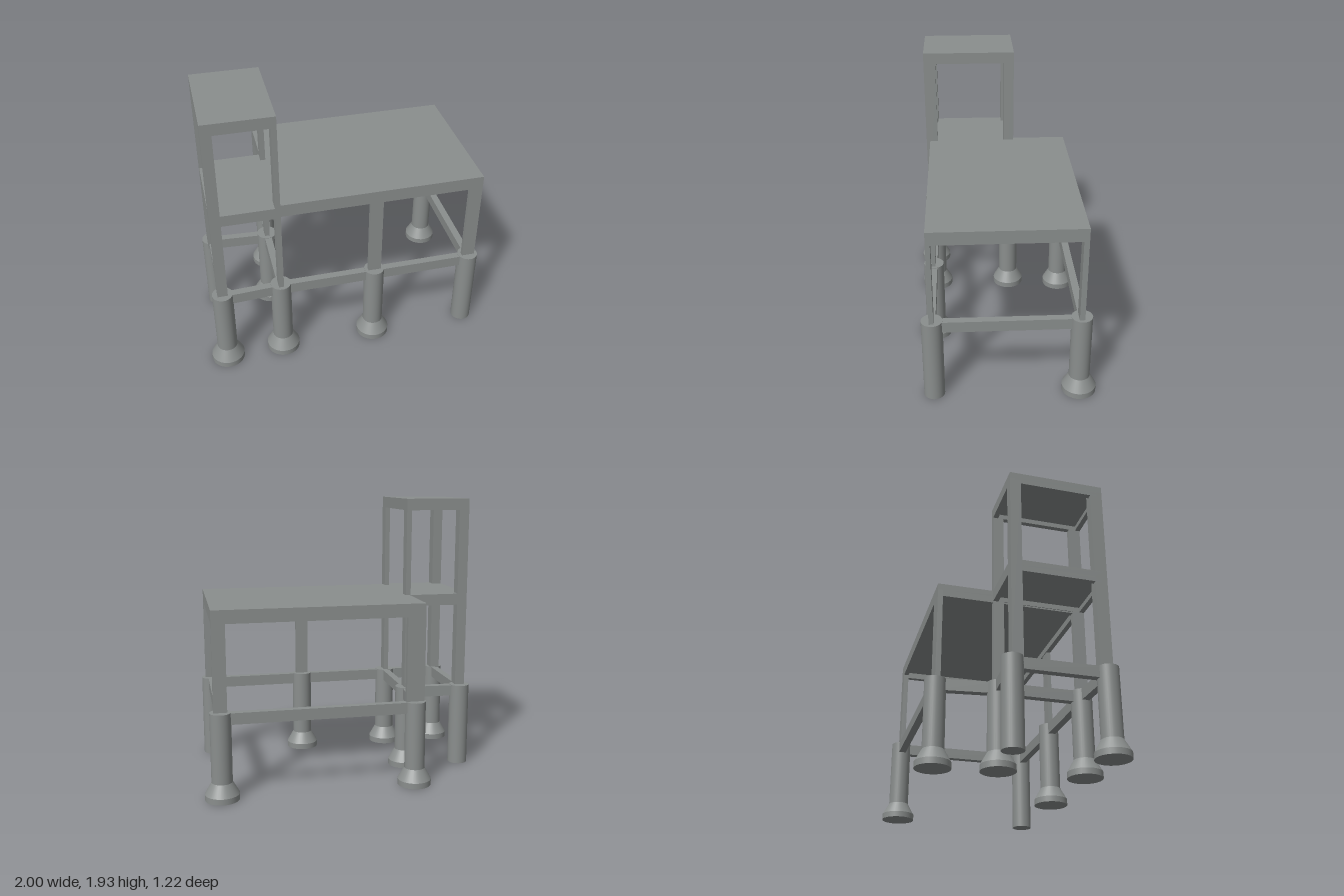
import * as THREE from 'three';

export function createModel() {
  const model = new THREE.Group();
  model.name = 'buildingFrame';
  const concrete = new THREE.MeshStandardMaterial({ color: 0x8a8e8d });
  concrete.name = 'concrete grey';

  const add = (name, geometry, parent = model) => {
    const mesh = new THREE.Mesh(geometry, concrete);
    mesh.name = name;
    parent.add(mesh);
    return mesh;
  };

  // Box given by its limits on each axis
  const box = (name, x0, x1, y0, y1, z0, z1, parent) =>
    add(name, new THREE.BoxGeometry(x1 - x0, y1 - y0, z1 - z0), parent)
      .position.set((x0 + x1) / 2, (y0 + y1) / 2, (z0 + z1) / 2);

  // Foundation piles: x, z, belled foot
  const piles = {
    towerFront: [-0.885, 0.49, true],
    towerInnerFront: [-0.48, 0.47, true],
    hallMiddleFront: [0.185, 0.47, true],
    hallCornerFront: [0.88, 0.47, false],
    hallCornerBack: [0.88, -0.5, true],
    hallInnerBack: [-0.435, -0.5, true],
    towerInnerBack: [-0.48, -0.1, true],
    towerBack: [-0.885, -0.125, false],
  };
  for (const [name, [x, z, belled]] of Object.entries(piles)) {
    const pile = new THREE.Group();
    pile.name = name + 'Pile';
    pile.position.set(x, 0, z);
    add('shaft', new THREE.CylinderGeometry(0.07, 0.07, 0.59, 32), pile).position.y = 0.295;
    if (belled) {
      add('foot', new THREE.CylinderGeometry(0.115, 0.115, 0.04, 32), pile).position.y = 0.02;
      add('footTaper', new THREE.CylinderGeometry(0.07, 0.115, 0.08, 32, 1, true), pile).position.y = 0.08;
    }
    model.add(pile);
  }

  // Ground beams between neighbouring piles
  const spans = [
    ['towerFront', 'towerInnerFront'], ['towerInnerFront', 'hallMiddleFront'],
    ['hallMiddleFront', 'hallCornerFront'], ['hallCornerFront', 'hallCornerBack'],
    ['hallCornerBack', 'hallInnerBack'], ['hallInnerBack', 'towerInnerBack'],
    ['towerInnerBack', 'towerInnerFront'], ['towerInnerBack', 'towerBack'],
    ['towerBack', 'towerFront'],
  ];
  for (const [a, b] of spans) {
    const [ax, az] = piles[a], [bx, bz] = piles[b];
    const beam = add('groundBeam', new THREE.BoxGeometry(Math.hypot(bx - ax, bz - az), 0.077, 0.05));
    beam.position.set((ax + bx) / 2, 0.5485, (az + bz) / 2);
    beam.rotation.y = -Math.atan2(bz - az, bx - ax);
  }

  // Columns: x limits, z limits, top
  const columns = [
    ['towerFrontColumn', -0.92, -0.85, 0.43, 0.513, 1.88],
    ['towerBackColumn', -0.92, -0.85, -0.135, -0.06, 1.88],
    ['towerInnerFrontColumn', -0.5, -0.465, 0.43, 0.513, 1.88],
    ['towerInnerBackColumn', -0.5, -0.465, -0.135, -0.06, 1.88],
    ['hallMiddleColumn', 0.14, 0.23, 0.457, 0.487, 1.2],
    ['hallFrontColumn', 0.835, 0.925, 0.457, 0.487, 1.2],
    ['hallBackColumn', 0.835, 0.925, -0.513, -0.478, 1.2],
    ['hallInnerBackColumn', -0.495, -0.37, -0.513, -0.478, 1.2],
  ];
  for (const [name, x0, x1, z0, z1, top] of columns) box(name, x0, x1, 0.55, top, z0, z1);

  // Floor: a slab with edge beams hanging below it
  const floor = (name, x0, x1, z0, z1, bottom, top, rim) => {
    const group = new THREE.Group();
    group.name = name;
    const under = top - 0.045;
    box('slab', x0, x1, under, top, z0, z1, group);
    box('frontEdgeBeam', x0, x1, bottom, under, z1 - rim, z1, group);
    box('backEdgeBeam', x0, x1, bottom, under, z0, z0 + rim, group);
    box('rightEdgeBeam', x0, x0 + rim, bottom, under, z0 + rim, z1 - rim, group);
    box('leftEdgeBeam', x1 - rim, x1, bottom, under, z0 + rim, z1 - rim, group);
    model.add(group);
  };
  floor('hallRoof', -0.495, 0.925, -0.513, 0.487, 1.17, 1.26, 0.035);
  floor('towerFloor', -0.92, -0.465, -0.135, 0.513, 1.18, 1.26, 0.035);
  floor('towerRoof', -0.92, -0.465, -0.135, 0.513, 1.853, 1.932, 0.035);

  return model;
}
